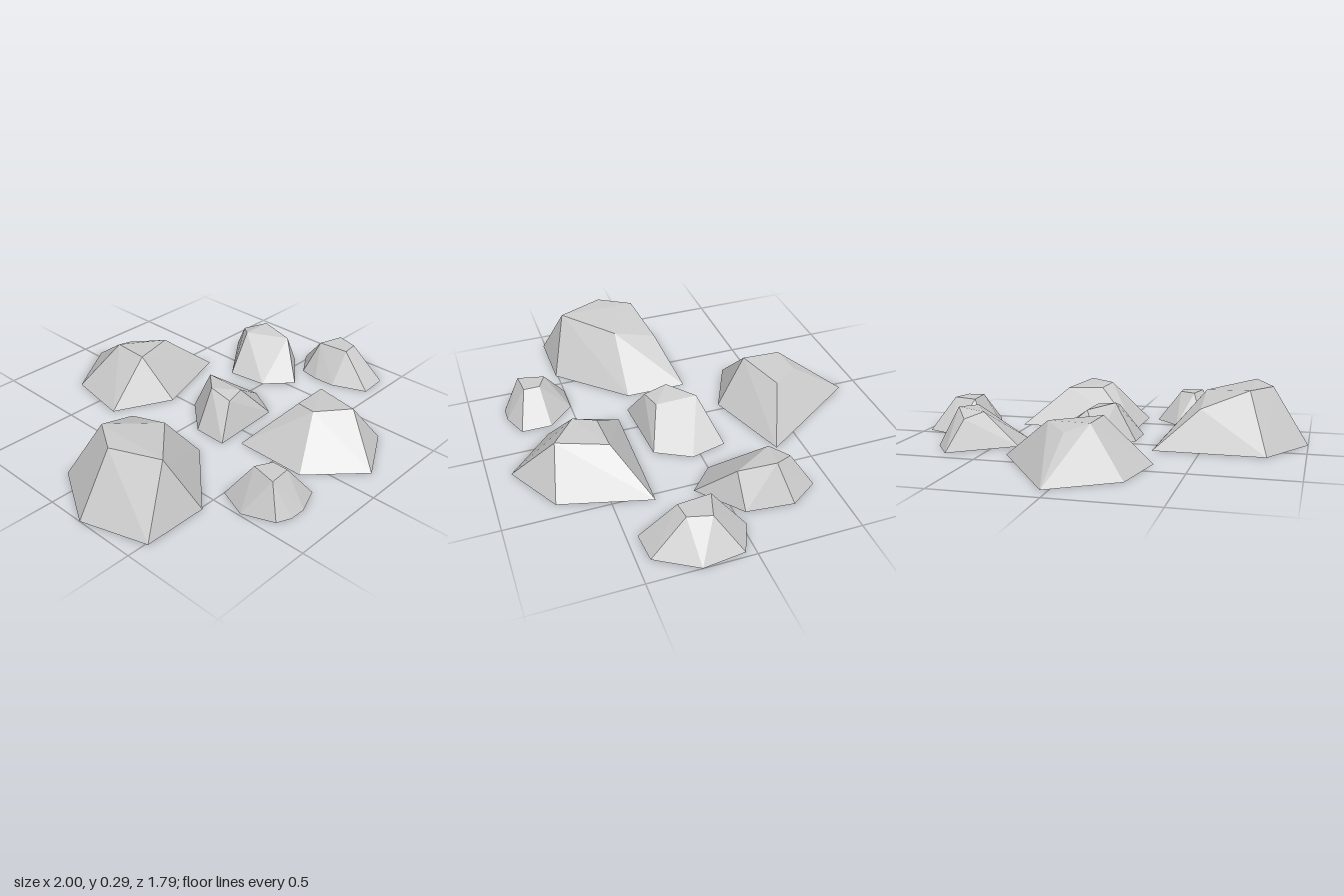
import * as THREE from 'three';
import { ConvexGeometry } from 'three/addons/geometries/ConvexGeometry.js';

// Each rock: ground outline as [x, z], crown corners as [x, y, z]
const ROCKS = {
  largeLeftRock: {
    base: [[-1, 0.19], [-0.82, -0.12], [-0.27, -0.12], [-0.27, 0.19], [-0.58, 0.51], [-0.9, 0.51]],
    top: [[-0.82, 0.29, 0.19], [-0.72, 0.29, 0.03], [-0.49, 0.2, -0.03], [-0.49, 0.26, 0.19], [-0.72, 0.29, 0.42]],
  },
  backRock: {
    base: [[0.035, -0.9], [0.385, -0.37], [-0.04, -0.23], [-0.33, -0.37], [-0.27, -0.7]],
    top: [[0.02, 0.18, -0.62], [0.14, 0.2, -0.47], [-0.1, 0.22, -0.39], [-0.09, 0.22, -0.58]],
  },
  rightBackRock: {
    base: [[0.68, -0.42], [0.775, -0.28], [0.75, -0.05], [0.54, 0.12], [0.41, 0], [0.385, -0.2]],
    top: [[0.55, 0.175, -0.24], [0.62, 0.15, -0.32], [0.69, 0.19, -0.22], [0.66, 0.17, -0.04]],
  },
  rightFrontRock: {
    base: [[0.82, -0.025], [0.975, 0.045], [1, 0.25], [0.88, 0.44], [0.73, 0.45], [0.66, 0.28], [0.655, 0.17], [0.675, 0.07]],
    top: [[0.75, 0.165, 0.12], [0.88, 0.165, 0.16], [0.85, 0.165, 0.27], [0.765, 0.165, 0.28]],
  },
  frontRock: {
    base: [[-0.09, 0.295], [0.54, 0.305], [0.42, 0.74], [0.145, 0.89], [-0.095, 0.66]],
    top: [[0.13, 0.2, 0.46], [0.32, 0.195, 0.45], [0.25, 0.215, 0.69], [0.1, 0.215, 0.57]],
  },
  middleRock: {
    base: [[0.005, -0.115], [0.27, -0.14], [0.315, 0.04], [0.22, 0.21], [-0.155, 0.23], [-0.15, 0.06]],
    top: [[-0.045, 0.195, 0.055], [0.07, 0.175, -0.065], [0.07, 0.17, 0.145], [-0.04, 0.165, 0.17]],
  },
  smallFrontRock: {
    base: [[-0.43, 0.5], [-0.28, 0.5], [-0.155, 0.63], [-0.155, 0.78], [-0.28, 0.83], [-0.36, 0.83], [-0.43, 0.8], [-0.49, 0.65]],
    top: [[-0.36, 0.165, 0.61], [-0.28, 0.165, 0.65], [-0.28, 0.165, 0.73], [-0.39, 0.165, 0.74]],
  },
};

// Faceted stone wrapped around its ground outline and crown
function makeRock(name, { base, top }, material) {
  const points = [
    ...base.map(([x, z]) => new THREE.Vector3(x, 0, z)),
    ...top.map((p) => new THREE.Vector3(...p)),
  ];
  const mesh = new THREE.Mesh(new ConvexGeometry(points), material);
  mesh.name = name;
  return mesh;
}

export function createModel() {
  const group = new THREE.Group();
  group.name = 'rockCluster';
  const material = new THREE.MeshStandardMaterial({ color: 0xcccccc, flatShading: true });
  for (const [name, rock] of Object.entries(ROCKS)) group.add(makeRock(name, rock, material));
  return group;
}
